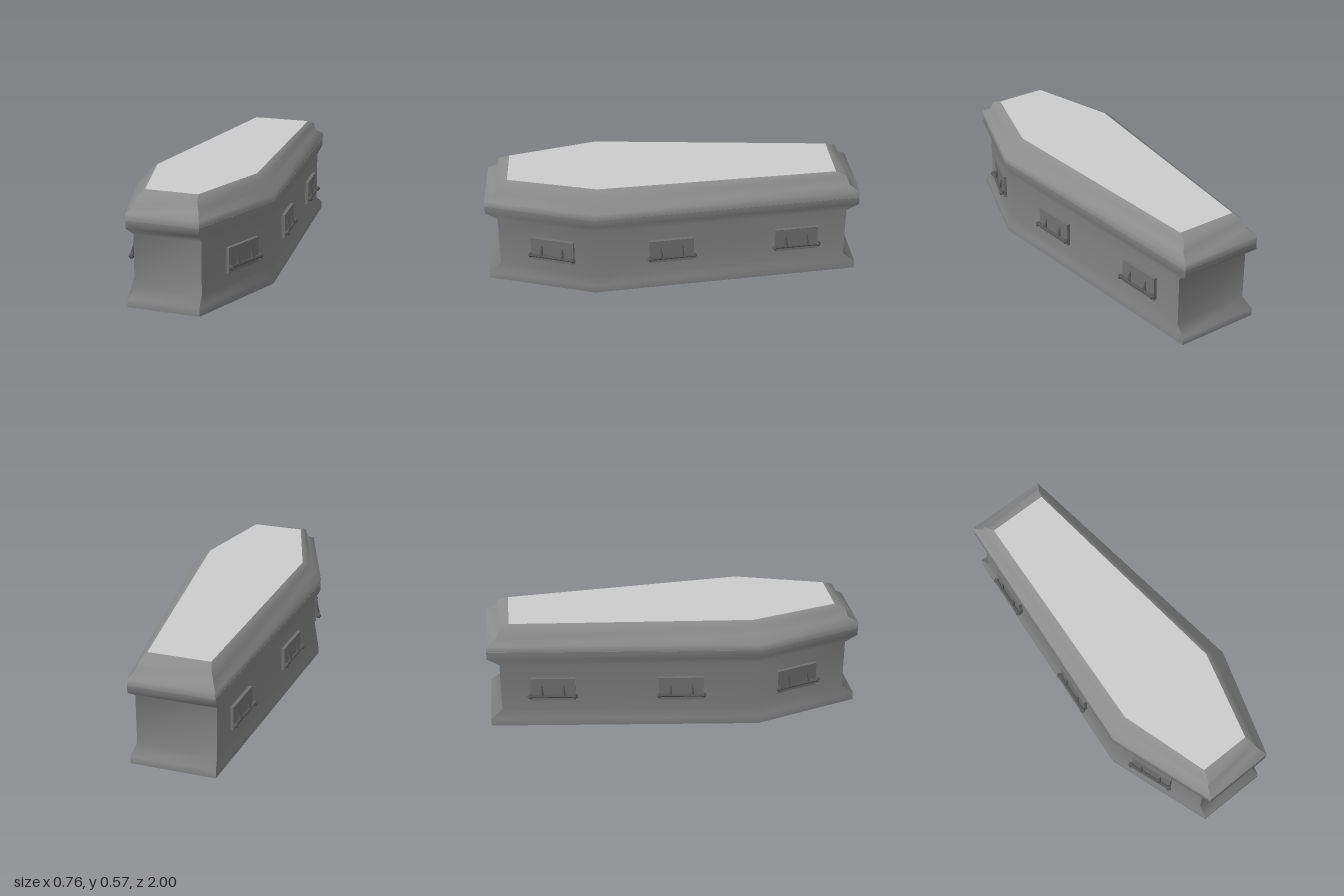
import * as THREE from 'three';
import { toCreasedNormals } from 'three/addons/utils/BufferGeometryUtils.js';

const paint = (color) => new THREE.MeshStandardMaterial({ color });
const bodyPaint = paint(0x808080);
const lidPaint = paint(0x8c8c8c);
const panelPaint = paint(0xbebebe);
const basePaint = paint(0x525252);
const platePaint = paint(0x707070);
const barPaint = paint(0x585858);

// Six-sided plan outline (x, z), from the narrow back round to the front
const half = [[0.225, -1], [0.378, 0.43], [0.19, 1]];
const outline = [...half, ...half.slice().reverse().map(([x, z]) => [-x, z])];

// Walls shaded smoothly as one strip: each long side bends at the shoulder
const strips = [[0, 1, 2], [2, 3], [3, 4, 5], [5, 0]];

// Scaled outline; the shoulder slides less along z than the ends
const ring = (sx, sz) => outline.map(([x, z]) =>
  [x * sx, z * (Math.abs(z) < 0.9 ? (1 + sz) / 2 : sz)]);

function add(group, name, geometry, material, x = 0, y = 0, z = 0) {
  const mesh = new THREE.Mesh(geometry, material);
  mesh.name = name;
  mesh.position.set(x, y, z);
  group.add(mesh);
  return mesh;
}

function build(positions, index) {
  const geometry = new THREE.BufferGeometry();
  geometry.setAttribute('position', new THREE.Float32BufferAttribute(positions, 3));
  geometry.setIndex(index);
  geometry.computeVertexNormals();
  return geometry;
}

// Moulded walls through levels of [y, x scale, z scale], sharp at the corners
function walls(levels) {
  const positions = [];
  const index = [];
  for (const strip of strips) {
    const start = positions.length / 3;
    const n = strip.length;
    levels.forEach(([y, sx, sz], l) => {
      const points = ring(sx, sz);
      strip.forEach((corner, i) => {
        positions.push(points[corner][0], y, points[corner][1]);
        if (l === 0 || i === 0) return;
        const b = start + l * n + i;
        index.push(b - n, b - n - 1, b - 1, b - n, b - 1, b);
      });
    });
  }
  return build(positions, index);
}

// Flat six-sided panel facing up or down
function panel([y, sx, sz], up) {
  const index = [];
  for (let i = 1; i < 5; i++) index.push(0, ...(up ? [i + 1, i] : [i, i + 1]));
  return build(ring(sx, sz).flatMap(([x, z]) => [x, y, z]), index);
}

// Handle in local space: x runs along the wall, z points outward
function createHandle() {
  const group = new THREE.Group();
  group.name = 'handle';
  add(group, 'handlePlate', new THREE.BoxGeometry(0.238, 0.132, 0.018), platePaint, 0, 0.217, 0.01);

  // Bar with faceted diamond knobs at both ends
  const barY = 0.185;
  const out = 0.032;
  const profile = [[0, -0.134], [0.006, -0.133], [0.016, -0.12], [0.009, -0.107],
    [0.009, 0.107], [0.016, 0.12], [0.006, 0.133], [0, 0.134]]
    .map(([r, y]) => new THREE.Vector2(r, y));
  const barGeometry = toCreasedNormals(new THREE.LatheGeometry(profile, 6), 0.5);
  add(group, 'handleBar', barGeometry, barPaint, 0, barY, out).rotation.z = Math.PI / 2;

  // Tapered arms rising to the plate, with short pegs behind the bar
  for (const x of [-0.058, 0.058]) {
    const foot = new THREE.Vector3(x, barY, out);
    const tip = new THREE.Vector3(x, 0.242, 0.018);
    const direction = tip.clone().sub(foot);
    const arm = add(group, 'handleArm',
      new THREE.CylinderGeometry(0.003, 0.011, direction.length(), 6), barPaint);
    arm.position.addVectors(foot, tip).multiplyScalar(0.5);
    arm.quaternion.setFromUnitVectors(new THREE.Vector3(0, 1, 0), direction.normalize());
    add(group, 'handlePeg', new THREE.CylinderGeometry(0.007, 0.007, 0.02, 6), barPaint,
      x, barY, 0.024).rotation.x = Math.PI / 2;
  }
  return group;
}

export function createModel() {
  const model = new THREE.Group();
  model.name = 'coffin';

  // Body with flared foot and flared rim
  const inset = 0.937;
  const bodyLevels = [
    [0, 1, 1], [0.041, 1, 1], [0.086, inset, inset],
    [0.36, inset, inset], [0.404, 1, 1], [0.4445, 1, 1],
  ];
  add(model, 'body', walls(bodyLevels), bodyPaint);
  add(model, 'bodyBase', panel(bodyLevels[0], false), basePaint);
  add(model, 'bodyRim', panel(bodyLevels[5], true), bodyPaint);

  // Stepped lid
  const lidLevels = [
    [0.4455, 1, 1], [0.479, 1, 1], [0.51, 0.875, 0.945],
    [0.555, 0.82, 0.932], [0.575, 0.73, 0.875],
  ];
  add(model, 'lidMoulding', walls(lidLevels), lidPaint);
  add(model, 'lidUnderside', panel(lidLevels[0], false), lidPaint);
  add(model, 'lidPanel', panel(lidLevels[4], true), panelPaint);

  // Three handles along each side: [z, index of the wall]
  const wall = ring(inset, inset);
  for (const side of [1, -1]) {
    for (const [z, i] of [[-0.662, 0], [0.018, 0], [0.646, 1]]) {
      const [ax, az] = wall[i];
      const [bx, bz] = wall[i + 1];
      const x = ax + (bx - ax) * (z - az) / (bz - az);
      const handle = createHandle();
      handle.position.set(side * x, 0, z);
      handle.rotation.y = Math.atan2(side * (bz - az), ax - bx);
      model.add(handle);
    }
  }
  return model;
}
